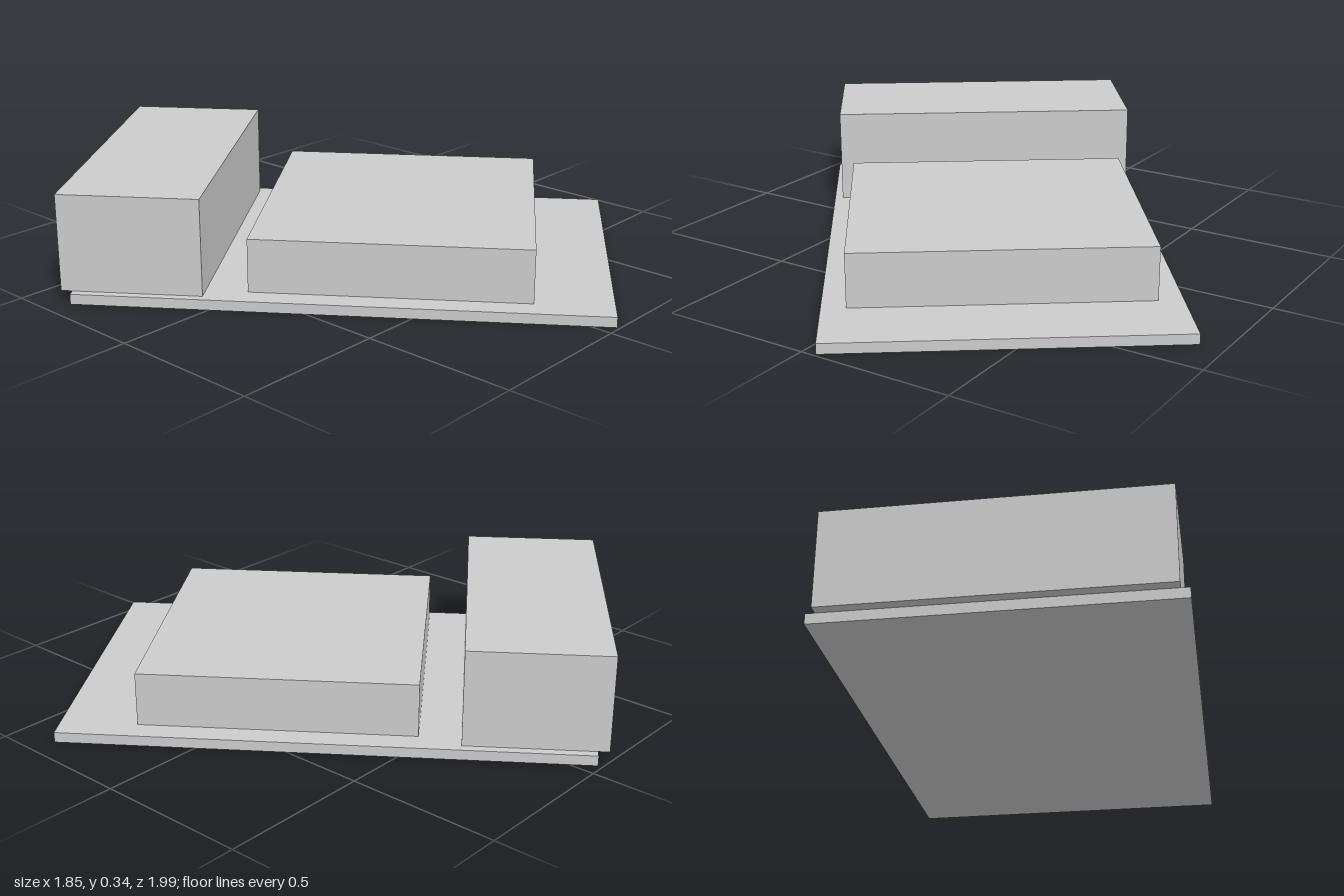
import * as THREE from 'three';

export function createModel() {
  const model = new THREE.Group();
  model.name = 'buildingMassing';
  const grey = new THREE.MeshStandardMaterial({ color: 0xcccccc });
  grey.name = 'light grey';
  const turn = THREE.MathUtils.degToRad(36); // whole plan is turned on the site

  // Box with its underside at y0 and its top at y1
  function block(name, x, z, width, depth, y0, y1) {
    const mesh = new THREE.Mesh(new THREE.BoxGeometry(width, y1 - y0, depth), grey);
    mesh.name = name;
    mesh.position.set(x, (y0 + y1) / 2, z);
    mesh.rotation.y = turn;
    model.add(mesh);
  }

  const deck = 0.033;
  block('basePlate', -0.002, 0.003, 1.085, 1.656, 0, deck);
  block('lowBlock', 0.084, 0.123, 0.931, 0.873, deck, 0.206);
  // Tall block overhangs the back edge of the plate
  block('tallBlock', -0.38, -0.516, 1.029, 0.443, deck, 0.345);

  return model;
}
